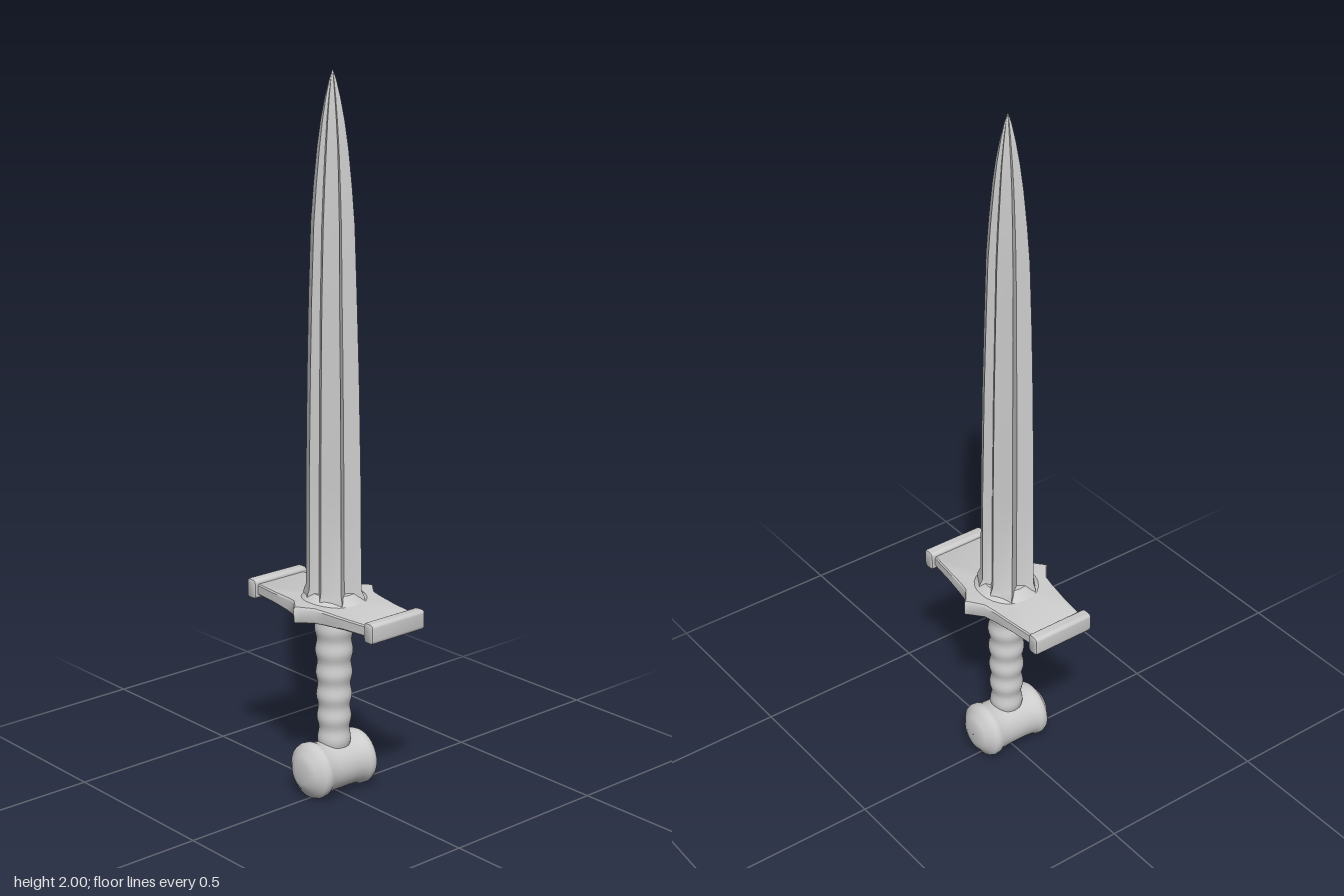
import * as THREE from 'three';
import { toCreasedNormals } from 'three/addons/utils/BufferGeometryUtils.js';

// Skin between rings of equal point count (rings run bottom to top, points counter-clockwise seen from above)
function loft(rings, crease) {
  const n = rings[0].length, pos = [], idx = [];
  rings.forEach(r => r.forEach(p => pos.push(p[0], p[1], p[2])));
  for (let j = 0; j < rings.length - 1; j++) {
    for (let i = 0; i < n; i++) {
      const a = j * n + i, b = j * n + (i + 1) % n;
      idx.push(a, b, b + n, a, b + n, a + n);
    }
  }
  // fan caps around the centre of the first and last ring
  [[0, true], [rings.length - 1, false]].forEach(([k, down]) => {
    const c = [0, 1, 2].map(q => rings[k].reduce((s, p) => s + p[q], 0) / n);
    const m = pos.length / 3;
    pos.push(...c);
    for (let i = 0; i < n; i++) {
      const a = k * n + i, b = k * n + (i + 1) % n;
      idx.push(...(down ? [m, b, a] : [m, a, b]));
    }
  });
  const g = new THREE.BufferGeometry();
  g.setAttribute('position', new THREE.Float32BufferAttribute(pos, 3));
  g.setIndex(idx);
  return toCreasedNormals(g, crease);
}

export function createModel() {
  const group = new THREE.Group();
  const steel = new THREE.MeshStandardMaterial({ color: 0xcccccc });
  steel.name = 'pale steel';
  const add = (name, geometry) => {
    const mesh = new THREE.Mesh(geometry, steel);
    mesh.name = name;
    group.add(mesh);
    return mesh;
  };

  // Blade: X-shaped section with four ridges, tapering to a point
  const section = [
    [0.052, 0], [0.067, -0.025], [0.037, -0.076], [0, -0.046],
    [-0.037, -0.076], [-0.067, -0.025], [-0.052, 0], [-0.067, 0.025],
    [-0.037, 0.076], [0, 0.046], [0.037, 0.076], [0.067, 0.025],
  ];
  // height, scale in x, scale in z, shift in x
  const stations = [
    [0.54, 1.15, 1.08, 0], [0.58, 1.12, 1.05, 0], [0.60, 1, 0.96, -0.002], [0.9, 0.97, 0.94, -0.003],
    [1.2, 0.9, 0.88, -0.004], [1.4, 0.83, 0.82, -0.005], [1.6, 0.73, 0.75, -0.005],
    [1.7, 0.63, 0.66, -0.005], [1.8, 0.5, 0.54, -0.005], [1.87, 0.39, 0.41, -0.005],
    [1.93, 0.26, 0.26, -0.005], [1.975, 0.13, 0.12, -0.005], [2, 0.01, 0.01, -0.005],
  ];
  add('blade', loft(stations.map(([y, sx, sz, dx]) =>
    section.map(([x, z]) => [x * sx + dx, y, z * sz])), 0.45));

  // Guard: waisted plate along z with a pointed middle, thicker near the blade
  const half = [[0.145, 0], [0.135, 0.012], [0.11, 0.045], [0.103, 0.08], [0.093, 0.15], [0.083, 0.235]];
  const outline = [
    ...half.map(([x, z]) => [x, -z]),
    ...half.slice().reverse().map(([x, z]) => [-x, -z]),
    ...half.slice(1).map(([x, z]) => [-x, z]),
    ...half.slice(1).reverse().map(([x, z]) => [x, z]),
  ];
  const thick = z => 0.016 + 0.007 * Math.max(0, 1 - Math.abs(z) / 0.16);
  const guardRing = (s, inset) => outline.map(([x, z]) =>
    [x * inset, 0.551 + s * thick(z), z * inset]);
  add('guard', loft([guardRing(-1, 0.97), guardRing(-0.75, 1), guardRing(0.75, 1), guardRing(1, 0.97)], 0.6));

  // Collars where the blade and the grip enter the guard
  const collar = (name, y, h, top, bottom) => {
    const g = new THREE.CylinderGeometry(top, bottom, h, 24);
    add(name, g).position.y = y;
  };
  collar('bladeCollar', 0.58, 0.022, 0.064, 0.092);
  collar('gripCollar', 0.525, 0.025, 0.075, 0.057);

  // Rounded bars closing both ends of the guard
  const bar = new THREE.Shape();
  const w = 0.018, h = 0.028, r = 0.011;
  bar.moveTo(-w + r, -h);
  bar.lineTo(w - r, -h);
  bar.quadraticCurveTo(w, -h, w, -h + r);
  bar.lineTo(w, h - r);
  bar.quadraticCurveTo(w, h, w - r, h);
  bar.lineTo(-w + r, h);
  bar.quadraticCurveTo(-w, h, -w, h - r);
  bar.lineTo(-w, -h + r);
  bar.quadraticCurveTo(-w, -h, -w + r, -h);
  for (const side of [-1, 1]) {
    const g = new THREE.ExtrudeGeometry(bar, {
      depth: 0.178, bevelEnabled: true, bevelThickness: 0.006, bevelSize: 0.005, bevelOffset: -0.005,
      bevelSegments: 2, curveSegments: 4,
    });
    g.translate(0, 0, -0.089).rotateY(Math.PI / 2);
    add(side > 0 ? 'frontGuardBar' : 'backGuardBar', toCreasedNormals(g, 0.7)).position.set(0, 0.552, side * 0.243);
  }

  // Grip: tapered handle with soft finger ridges
  const grip = [];
  for (let i = 0; i <= 48; i++) {
    const t = i / 48;
    grip.push(new THREE.Vector2(0.044 + 0.009 * t + 0.0025 * Math.sin(t * Math.PI * 12), 0.14 + 0.39 * t));
  }
  add('grip', new THREE.LatheGeometry(grip, 32));

  // Pommel: waisted drum across x with raised rims and domed ends
  const end = [[0.12, 0.001], [0.12, 0.03], [0.112, 0.05], [0.1, 0.065], [0.093, 0.076],
    [0.083, 0.08], [0.07, 0.079], [0.058, 0.073], [0.03, 0.071]];
  const profile = [
    ...end.map(([x, q]) => new THREE.Vector2(q, -x)),
    ...end.slice().reverse().map(([x, q]) => new THREE.Vector2(q, x)),
  ];
  const pommel = add('pommel', new THREE.LatheGeometry(profile, 40));
  pommel.rotation.z = -Math.PI / 2;
  pommel.position.y = 0.08;

  return group;
}
